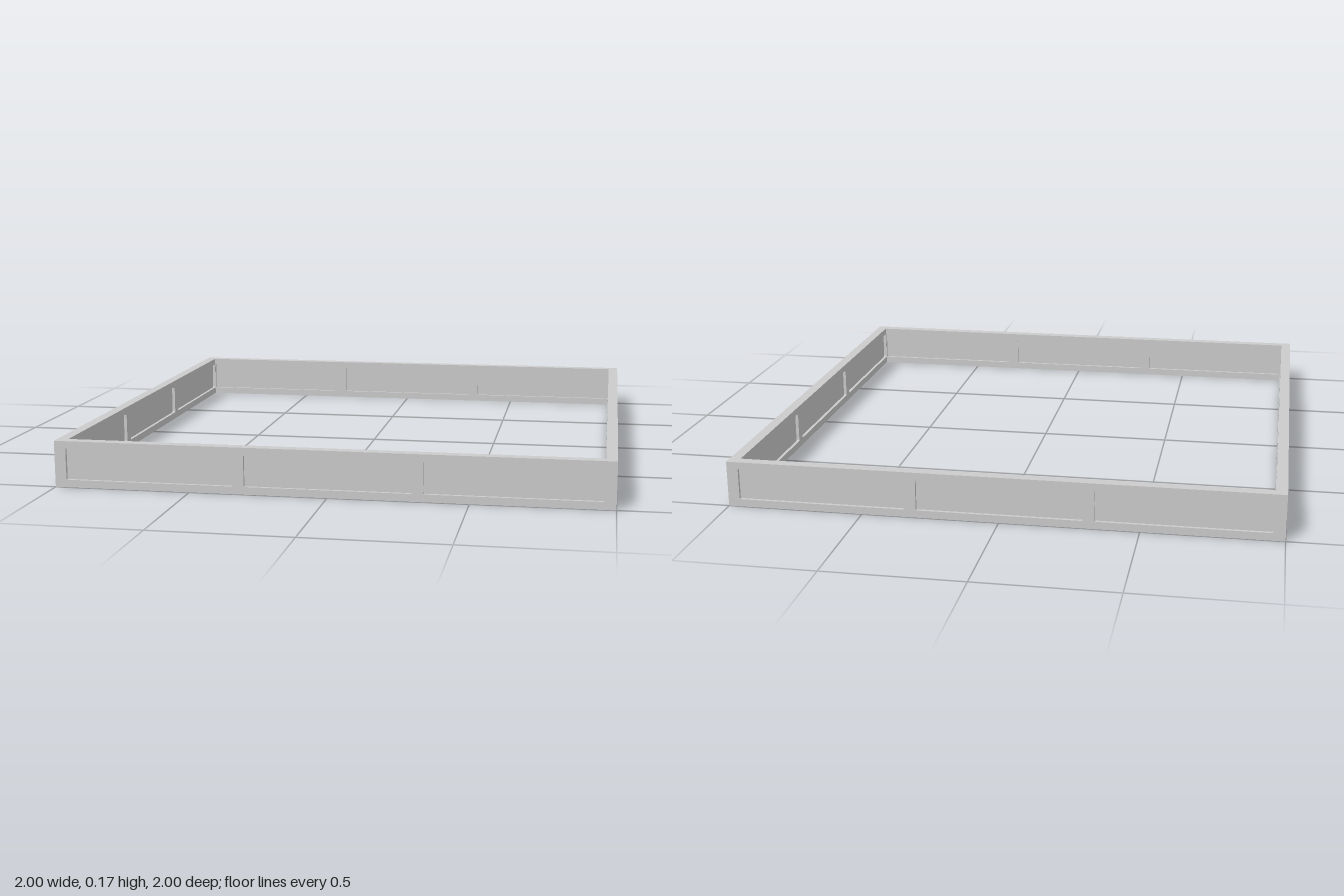
import * as THREE from 'three';

const HEIGHT = 0.17, THICK = 0.04, HALF = 1;
const material = new THREE.MeshStandardMaterial({ color: 0xcccccc, flatShading: true });

// Rectangle with slightly rounded corners
function roundedRect(x0, x1, y0, y1, r) {
  const p = new THREE.Path();
  p.absarc(x1 - r, y0 + r, r, -Math.PI / 2, 0);
  p.absarc(x1 - r, y1 - r, r, 0, Math.PI / 2);
  p.absarc(x0 + r, y1 - r, r, Math.PI / 2, Math.PI);
  p.absarc(x0 + r, y0 + r, r, Math.PI, Math.PI * 1.5);
  p.closePath();
  return p;
}

// Rails and stiles of one wall, with three openings and mitred ends
function frameGeometry() {
  const shape = new THREE.Shape([
    new THREE.Vector2(-HALF, 0), new THREE.Vector2(HALF, 0),
    new THREE.Vector2(HALF, HEIGHT), new THREE.Vector2(-HALF, HEIGHT),
  ]);
  for (const [x0, x1] of [[-0.958, -0.34], [-0.3, 0.3], [0.34, 0.958]])
    shape.holes.push(roundedRect(x0, x1, 0.028, 0.144, 0.006));
  const geo = new THREE.ExtrudeGeometry(shape, { depth: THICK, bevelEnabled: false, curveSegments: 4 });
  geo.translate(0, 0, HALF - THICK);
  const pos = geo.attributes.position;
  for (let i = 0; i < pos.count; i++) {
    const x = pos.getX(i);
    if (Math.abs(x) > 0.99) pos.setX(i, Math.sign(x) * pos.getZ(i));
  }
  geo.computeVertexNormals();
  return geo;
}

export function createModel() {
  const model = new THREE.Group();
  model.name = 'squareFrame';
  const frame = frameGeometry();

  // Thin sheet set inside the wall, recessed on both faces
  const sheet = new THREE.BoxGeometry(1.95, 0.14, 0.016);
  sheet.translate(0, HEIGHT / 2, HALF - THICK / 2);

  ['front', 'left', 'back', 'right'].forEach((side, i) => {
    const wall = new THREE.Group();
    wall.name = side + 'Wall';
    const rails = new THREE.Mesh(frame, material);
    rails.name = side + 'Rails';
    const panels = new THREE.Mesh(sheet, material);
    panels.name = side + 'RecessedPanels';
    wall.add(rails, panels);
    wall.rotation.y = i * Math.PI / 2;
    model.add(wall);
  });
  return model;
}
